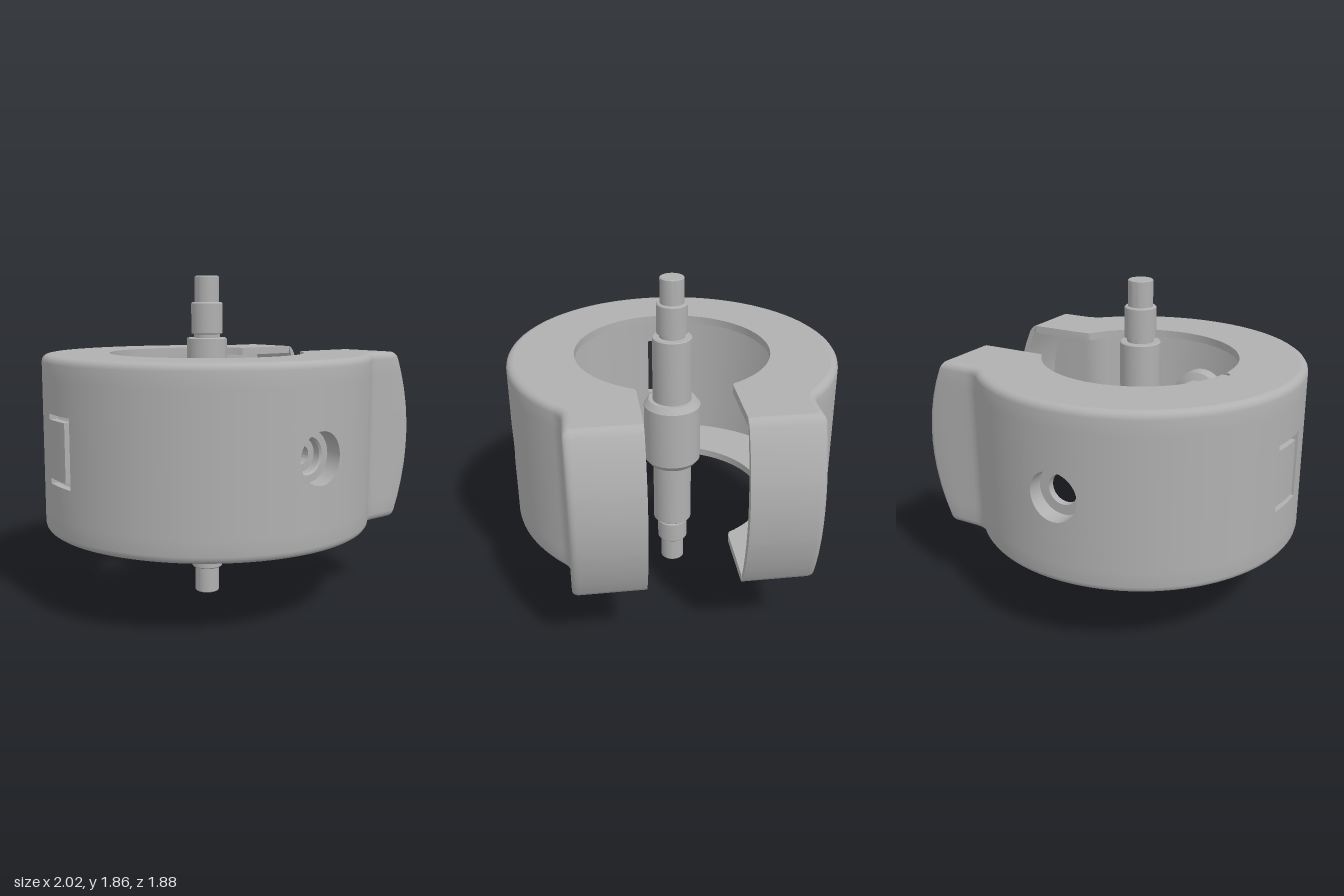
import * as THREE from 'three';
import { toCreasedNormals } from 'three/addons/utils/BufferGeometryUtils.js';

const MID = 0.93, BOTTOM = 0.435, TOP = 1.425;   // heights of the clamp
const R = 0.94, BORE = 0.56, GAP = 0.255;        // ring radius, plate bore, half gap
const WALL = 0.045, ROUND = 0.04;
const rad = THREE.MathUtils.degToRad;

// Plan outline from the front arm tip round the ring to the back arm tip: [x, z, normalX, normalZ]
function planOutline() {
  const arm = [[1.04, GAP, 1, 0], [1.04, 0.45, 1, 0]];
  for (let i = 0; i <= 4; i++) {
    const a = i / 4 * Math.PI / 2, c = Math.cos(a), s = Math.sin(a);
    arm.push([1 + 0.04 * c, 0.61 + 0.04 * s, c, s]);
  }
  arm.push([0.88, 0.65, 0, 1]);
  for (let i = 0; i <= 6; i++) {                 // concave fillet into the ring
    const a = -Math.PI / 2 - i / 6 * rad(42.8), c = Math.cos(a), s = Math.sin(a);
    arm.push([0.74 + 0.15 * c, 0.8 + 0.15 * s, -c, -s]);
  }
  const ring = [];
  for (let d = 48; d <= 312; d += 3) {
    const c = Math.cos(rad(d)), s = Math.sin(rad(d));
    ring.push([R * c, R * s, c, s, d]);
  }
  const back = arm.map(([x, z, nx, nz]) => [x, -z, nx, -nz]).reverse();
  return [...arm, ...ring, ...back];
}

// Outline point moved inwards, with the arm tips bowed in the vertical direction
function wallPoint(p, inset, y) {
  let x = p[0] - p[2] * inset;
  const z = p[1] - p[3] * inset;
  const tip = Math.sqrt(1.04 * 1.04 - (y - MID) ** 2);
  if (x > 0.75) x = 0.75 + (x - 0.75) * (tip - 0.75) / 0.29;
  return [x, y, z];
}

function fromTriangles(pos, crease = 0.6) {
  const g = new THREE.BufferGeometry();
  g.setAttribute('position', new THREE.Float32BufferAttribute(pos, 3));
  return toCreasedNormals(g, crease);
}
const quad = (out, a, b, c, d) => out.push(...a, ...b, ...c, ...a, ...c, ...d);

// Outer wall: two skins, open where the screw holes and the latch slot are
function wallGeometry(outline) {
  const rows = [];
  const bevel = [0, 1, 2, 3].map(i => {
    const a = i / 4 * Math.PI / 2;
    return [ROUND * (1 - Math.sin(a)), ROUND * (1 - Math.cos(a))];
  });
  bevel.forEach(([inset, h]) => rows.push([inset, BOTTOM + h]));
  for (const y of [0.475, 0.56, 0.65, 0.74, 0.77, 0.85, 0.93, 1.01, 1.09, 1.12, 1.21, 1.3, 1.385]) rows.push([0, y]);
  bevel.reverse().forEach(([inset, h]) => rows.push([inset, TOP - h]));

  const keep = (i, j) => {
    if (i < 0 || i >= outline.length - 1) return false;
    if (j < 0 || j >= rows.length - 1) return true;
    const a = outline[i][4], b = outline[i + 1][4];
    if (a === undefined || b === undefined) return true;
    const d = (a + b) / 2, y = (rows[j][1] + rows[j + 1][1]) / 2;
    if (y < 0.74 || y > 1.12) return true;
    if (Math.abs(d - 90) < 12 || Math.abs(d - 270) < 12) return false;
    if (d > 177 && d < 180) return false;                       // slot round the latch tongue
    return !(d > 180 && d < 192 && (y < 0.77 || y > 1.09));
  };
  const outer = (i, j) => wallPoint(outline[i], rows[j][0], rows[j][1]);
  const inner = (i, j) => wallPoint(outline[i], WALL, THREE.MathUtils.clamp(rows[j][1], BOTTOM + WALL, TOP - WALL));
  const out = [];
  for (let i = 0; i < outline.length - 1; i++) for (let j = 0; j < rows.length - 1; j++) {
    if (!keep(i, j)) continue;
    quad(out, outer(i, j), outer(i, j + 1), outer(i + 1, j + 1), outer(i + 1, j));
    quad(out, inner(i, j), inner(i + 1, j), inner(i + 1, j + 1), inner(i, j + 1));
    const edge = (a, b, c, d) => quad(out, outer(a, b), inner(a, b), inner(c, d), outer(c, d));
    if (!keep(i - 1, j)) edge(i, j, i, j + 1);
    if (!keep(i + 1, j)) edge(i + 1, j + 1, i + 1, j);
    if (!keep(i, j - 1)) edge(i + 1, j, i, j);
    if (!keep(i, j + 1)) edge(i, j + 1, i + 1, j + 1);
  }
  return fromTriangles(out);
}

// Square piece of the curved wall with a round counterbore, facing +z
function holePatch() {
  const out = [], N = 48, K = 4, hole = 0.14;
  for (const r of [R, R - WALL]) {
    const point = (i, k) => {
      const t = i / N * Math.PI * 2, c = Math.cos(t), s = Math.sin(t);
      if (k > K) return [hole * c, MID + hole * s, 0.84];
      const m = Math.max(Math.abs(c), Math.abs(s)), f = k / K;
      const a = (1 - f) * c / m * rad(12) + f * Math.asin(hole * c / r);
      const y = (1 - f) * s / m * 0.19 + f * hole * s;
      return [r * Math.sin(a), MID + y, r * Math.cos(a)];
    };
    for (let i = 0; i < N; i++) for (let k = 0; k < (r === R ? K + 1 : K); k++)
      quad(out, point(i, k), point(i + 1, k), point(i + 1, k + 1), point(i, k + 1));
  }
  return fromTriangles(out);
}

// Top and bottom plate with the open bore and a small joint notch
function plateGeometry(outline) {
  const pts = outline.map(p => {
    const [x, , z] = wallPoint(p, ROUND, TOP);
    return new THREE.Vector2(x, z);
  });
  const add = (r, d) => pts.push(new THREE.Vector2(r * Math.cos(rad(d)), r * Math.sin(rad(d))));
  pts.push(new THREE.Vector2(0.52, -GAP));
  for (let d = 332; d >= 28; d -= 4) {
    if (d === 188) { add(0.56, 191.5); add(0.6, 190.5); add(0.595, 188.5); add(0.565, 187); }
    else add(BORE, d);
  }
  pts.push(new THREE.Vector2(0.52, GAP));
  const g = new THREE.ExtrudeGeometry(new THREE.Shape(pts), { depth: WALL, bevelEnabled: false });
  g.rotateX(Math.PI / 2);
  return toCreasedNormals(g, 0.5);
}

const lathe = pts => toCreasedNormals(
  new THREE.LatheGeometry(pts.map(([r, y]) => new THREE.Vector2(r, y)), 48), 0.5);

export function createModel() {
  const model = new THREE.Group();
  model.name = 'ringClamp';
  const grey = new THREE.MeshStandardMaterial({ color: 0xb0b0b0, side: THREE.DoubleSide });
  grey.name = 'plain grey';
  const add = (parent, name, geometry, y = 0) => {
    const mesh = new THREE.Mesh(geometry, grey);
    mesh.name = name;
    mesh.position.y = y;
    parent.add(mesh);
    return mesh;
  };

  // Hollow split ring, turned slightly about the post
  const clamp = new THREE.Group();
  clamp.name = 'clampShell';
  clamp.position.x = -0.06;
  clamp.rotation.y = -0.061;
  model.add(clamp);
  const outline = planOutline();
  add(clamp, 'outerWall', wallGeometry(outline));
  const plate = plateGeometry(outline);
  add(clamp, 'topPlate', plate, TOP);
  add(clamp, 'bottomPlate', plate, BOTTOM + WALL);
  const patch = holePatch();
  add(clamp, 'frontScrewRecess', patch);
  add(clamp, 'backScrewRecess', patch).rotation.y = Math.PI;

  // Long flanged screw boss at the front, short one at the back
  add(clamp, 'frontBoss', lathe([
    [0.14, 0.84], [0.1, 0.84], [0.09, 0.83], [0.09, 0.79], [0.05, 0.79], [0.05, 0.21], [0.125, 0.21],
    [0.135, 0.22], [0.135, 0.245], [0.125, 0.255], [0.115, 0.26], [0.115, 0.78], [0.165, 0.8], [0.165, 0.91],
  ]), MID).rotation.x = Math.PI / 2;
  add(clamp, 'backBoss', lathe([
    [0.14, 0.84], [0.085, 0.84], [0.085, 0.8], [0.16, 0.8], [0.16, 0.91],
  ]), MID).rotation.x = -Math.PI / 2;

  // Stepped centre post with its collar
  const half = [
    [0, 0], [0.065, 0], [0.07, 0.005], [0.07, 0.15], [0.083, 0.15], [0.09, 0.157], [0.09, 0.275],
    [0.075, 0.28], [0.075, 0.3], [0.11, 0.3], [0.115, 0.305], [0.115, 0.7],
  ];
  const post = add(model, 'centrePost', lathe([
    ...half, [0.14, 0.7], [0.168, 0.735], [0.168, 1.085], [0.14, 1.12], [0.115, 1.12],
    [0.115, 1.505], [0.11, 1.51], [0.075, 1.51], [0.075, 1.53], [0.09, 1.535], [0.09, 1.705],
    [0.083, 1.712], [0.07, 1.712], [0.07, 1.855], [0.065, 1.86], [0, 1.86],
  ]));
  post.position.x = -0.06;
  return model;
}
